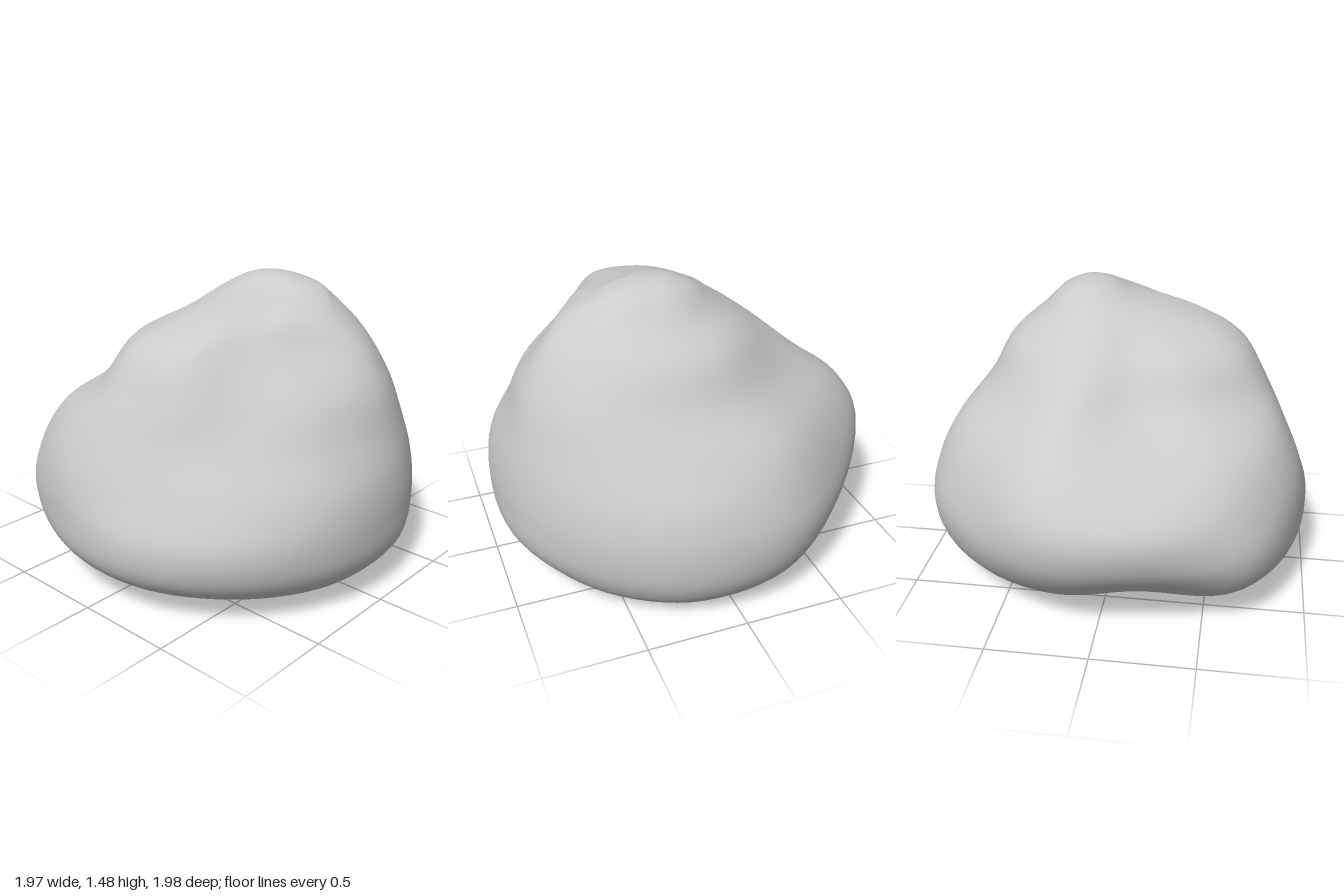
import * as THREE from 'three';
import { mergeVertices } from 'three/addons/utils/BufferGeometryUtils.js';

// Horizontal sections: height, centre x, centre z, then 12 radii every 30 degrees,
// starting 15 degrees from +x towards +z
const SECTIONS = [
  [0.06, 0, 0, 0.84, 0.84, 0.85, 0.83, 0.76, 0.55, 0.62, 0.70, 0.80, 0.84, 0.84, 0.82],
  [0.20, 0, 0, 0.96, 0.97, 0.98, 0.96, 0.95, 0.76, 0.82, 0.86, 0.94, 0.96, 0.95, 0.96],
  [0.40, 0, 0, 0.99, 1.01, 1.01, 0.98, 1.015, 0.94, 0.96, 0.935, 0.985, 0.99, 0.98, 0.98],
  [0.60, 0, 0, 0.96, 0.94, 0.94, 0.96, 0.97, 0.97, 0.98, 0.90, 0.94, 0.95, 0.95, 0.96],
  [0.80, 0, 0, 0.86, 0.82, 0.85, 0.88, 0.85, 0.79, 0.87, 0.80, 0.84, 0.84, 0.88, 0.91],
  [1.00, 0.1, 0, 0.67, 0.63, 0.73, 0.77, 0.67, 0.57, 0.72, 0.67, 0.68, 0.69, 0.73, 0.75],
  [1.20, 0.1, 0, 0.49, 0.48, 0.62, 0.62, 0.51, 0.40, 0.47, 0.51, 0.56, 0.58, 0.61, 0.63],
  [1.32, 0.15, 0, 0.36, 0.33, 0.40, 0.38, 0.31, 0.29, 0.35, 0.39, 0.42, 0.44, 0.47, 0.45],
  [1.42, 0.17, -0.15, 0.25, 0.20, 0.20, 0.20, 0.20, 0.21, 0.21, 0.19, 0.18, 0.18, 0.22, 0.27],
];
const AROUND = 80;
const UP = 64;

// Smooth closed outline of one section
function outline([y, cx, cz, ...radii], scale = 1) {
  const points = radii.map((r, k) => {
    const a = ((k + 0.5) / radii.length) * Math.PI * 2;
    const x = cx + Math.cos(a) * r * scale;
    const z = cz + Math.sin(a) * r * scale;
    // the underside rises slightly towards the front
    const fade = 1 - THREE.MathUtils.smoothstep(y, 0.05, 0.35);
    return new THREE.Vector3(x, y + fade * 0.04 * (z + 0.5), z);
  });
  return new THREE.CatmullRomCurve3(points, true, 'catmullrom', 0.5);
}

function rockGeometry() {
  const first = SECTIONS[0];
  const last = SECTIONS[SECTIONS.length - 1];
  // extra small sections close the bottom and the crown
  const rings = [
    outline([0, ...first.slice(1)], 0.6),
    ...SECTIONS.map((s) => outline(s)),
    outline([1.465, ...last.slice(1)], 0.5),
  ];
  const bottom = new THREE.Vector3(0, 0.02, 0);
  const top = new THREE.Vector3(0.18, 1.48, -0.16);

  // Meridian curves from the bottom to the peak
  const positions = [];
  const index = [];
  for (let j = 0; j < AROUND; j++) {
    const meridian = new THREE.CatmullRomCurve3(
      [bottom, ...rings.map((ring) => ring.getPoint(j / AROUND)), top]);
    for (let i = 0; i <= UP; i++) positions.push(...meridian.getPoint(i / UP).toArray());
  }
  for (let j = 0; j < AROUND; j++) {
    const a = j * (UP + 1);
    const b = ((j + 1) % AROUND) * (UP + 1);
    for (let i = 0; i < UP; i++) {
      if (i > 0) index.push(a + i, a + i + 1, b + i);
      if (i < UP - 1) index.push(a + i + 1, b + i + 1, b + i);
    }
  }
  let geometry = new THREE.BufferGeometry();
  geometry.setAttribute('position', new THREE.Float32BufferAttribute(positions, 3));
  geometry.setIndex(index);
  geometry = mergeVertices(geometry, 1e-5);
  geometry.computeBoundingBox();
  geometry.translate(0, -geometry.boundingBox.min.y, 0);
  geometry.computeVertexNormals();
  return geometry;
}

export function createModel() {
  const group = new THREE.Group();
  group.name = 'boulder';
  const rock = new THREE.Mesh(rockGeometry(), new THREE.MeshStandardMaterial({ color: 0xcccccc }));
  rock.name = 'rock';
  group.add(rock);
  return group;
}
